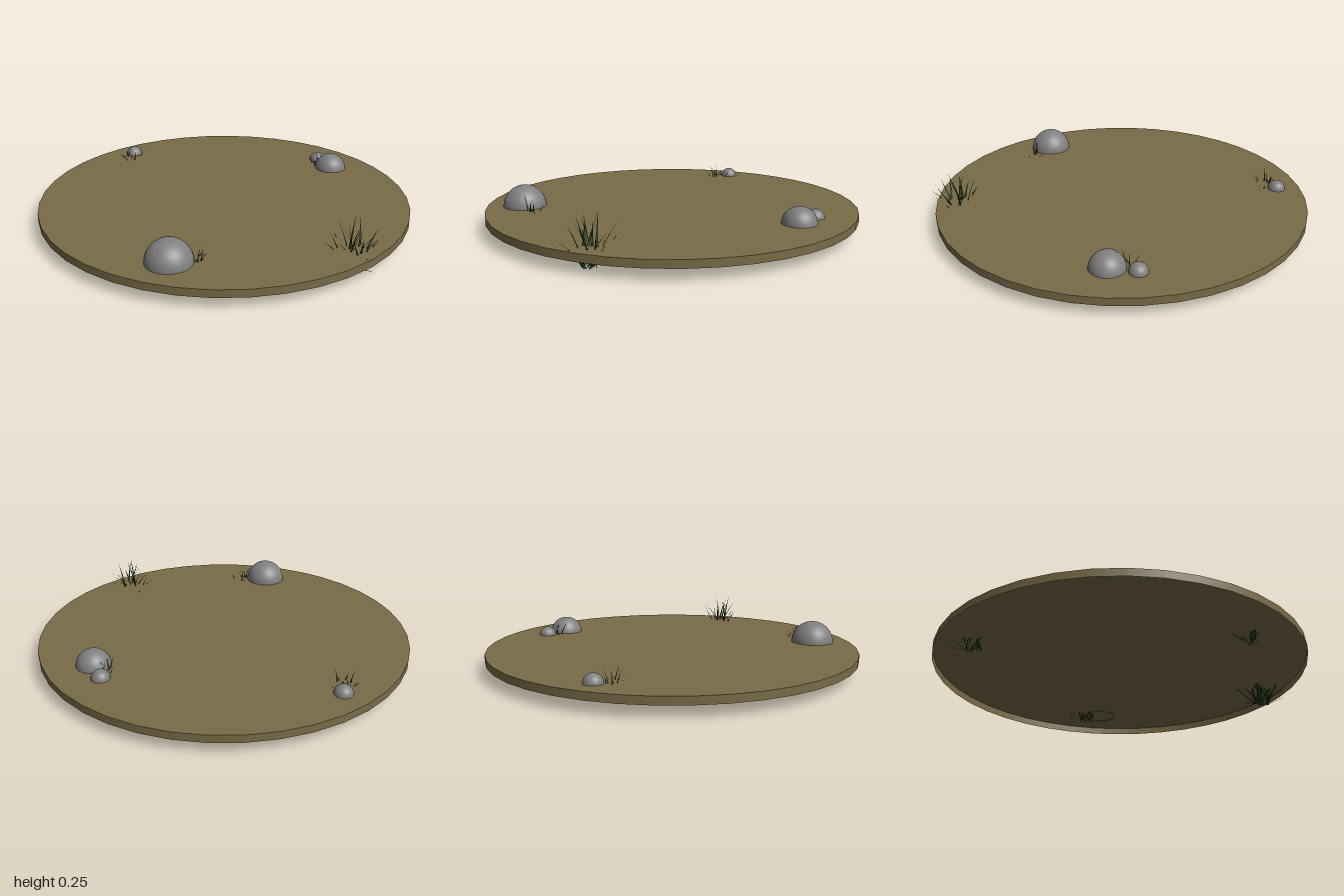
import * as THREE from 'three';
import { mergeGeometries } from 'three/addons/utils/BufferGeometryUtils.js';

const SIDES = 40;
const GROUND_Y = 0.1;

function material(name, color) {
  const m = new THREE.MeshStandardMaterial({ color, side: THREE.DoubleSide });
  m.name = name;
  return m;
}

// Small repeatable random source
function seeded(seed) {
  return () => {
    seed = (seed * 16807) % 2147483647;
    return seed / 2147483647;
  };
}

// One tapered ribbon that leans over further towards its tip
function bladeGeometry(root, heading, tilt, bend, length, width) {
  const steps = 4;
  const across = new THREE.Vector3(-Math.sin(heading), 0, Math.cos(heading));
  const point = root.clone();
  const positions = [];
  const indices = [];
  for (let i = 0; i <= steps; i++) {
    const t = i / steps;
    const half = (width / 2) * (1 - t * t * 0.97);
    for (const side of [-1, 1]) {
      positions.push(...point.clone().addScaledVector(across, side * half).toArray());
    }
    if (i < steps) {
      const a = i * 2;
      indices.push(a, a + 1, a + 2, a + 1, a + 3, a + 2);
    }
    const lean = tilt + bend * t;
    const step = length / steps;
    point.x += Math.cos(heading) * Math.sin(lean) * step;
    point.z += Math.sin(heading) * Math.sin(lean) * step;
    point.y = Math.max(0, point.y + Math.cos(lean) * step);
  }
  const g = new THREE.BufferGeometry();
  g.setAttribute('position', new THREE.Float32BufferAttribute(positions, 3));
  g.setIndex(indices);
  g.computeVertexNormals();
  return g;
}

// A fan of blades rooted just under the ground plate
function grassTuft({ name, x, y, z, spread, count, tall, short, width, seed }, mat) {
  const random = seeded(seed);
  const blades = [];
  for (let i = 0; i < count; i++) {
    const k = i / (count - 1);
    const heading = i * 2.4 + random() * 0.6;
    const root = new THREE.Vector3(
      x + (random() - 0.5) * spread,
      y + (i ? random() * 0.02 : 0),
      z + (random() - 0.5) * spread
    );
    const length = THREE.MathUtils.lerp(tall, short, k) * (0.85 + random() * 0.15);
    blades.push(bladeGeometry(root, heading, 0.05 + k * 1.1, 0.15 + random() * 0.35, length, width));
  }
  const mesh = new THREE.Mesh(mergeGeometries(blades), mat);
  mesh.name = name;
  return mesh;
}

export function createModel() {
  const model = new THREE.Group();
  model.name = 'groundPatch';
  const earth = material('earth', 0x786b46);
  const stone = material('stone', 0x808080);
  const grass = material('grass', 0x1f4219);

  // Round ground plate: a top disc and a rim, hollow underneath
  const ground = new THREE.Group();
  ground.name = 'ground';
  const disc = new THREE.Mesh(new THREE.CircleGeometry(1.003, SIDES, Math.PI / SIDES), earth);
  disc.name = 'groundTop';
  disc.rotation.x = -Math.PI / 2;
  disc.position.y = GROUND_Y;
  const rim = new THREE.Mesh(
    new THREE.CylinderGeometry(1.003, 1.003, 0.04, SIDES, 1, true, Math.PI / SIDES),
    earth
  );
  rim.name = 'groundRim';
  rim.position.y = GROUND_Y - 0.02;
  ground.add(disc, rim);
  model.add(ground);

  // Half-round rocks: x, base y, z, radius
  const rocks = [
    [-0.155, 0.1, 0.785, 0.115],
    [0.59, 0.096, -0.485, 0.09],
    [0.515, 0.099, -0.61, 0.048],
    [-0.65, 0.099, -0.578, 0.048],
  ];
  rocks.forEach(([x, y, z, r], i) => {
    const rock = new THREE.Mesh(
      new THREE.SphereGeometry(r, 32, 12, 0, Math.PI * 2, 0, Math.PI / 2),
      stone
    );
    rock.name = `rock${i + 1}`;
    rock.position.set(x, y, z);
    model.add(rock);
  });

  // Grass tufts beside the rocks and one larger tuft near the edge
  const tufts = [
    { name: 'largeGrassTuft', x: 0.68, y: 0, z: 0.57, spread: 0.07, count: 34, tall: 0.27, short: 0.12, width: 0.012, seed: 11 },
    { name: 'backRightGrassTuft', x: -0.65, y: 0.045, z: -0.49, spread: 0.07, count: 18, tall: 0.13, short: 0.06, width: 0.008, seed: 23 },
    { name: 'backLeftGrassTuft', x: 0.51, y: 0.045, z: -0.54, spread: 0.06, count: 16, tall: 0.14, short: 0.06, width: 0.008, seed: 37 },
    { name: 'frontGrassTuft', x: -0.02, y: 0.05, z: 0.765, spread: 0.07, count: 16, tall: 0.13, short: 0.07, width: 0.008, seed: 51 },
  ];
  tufts.forEach((t) => model.add(grassTuft(t, grass)));

  return model;
}
